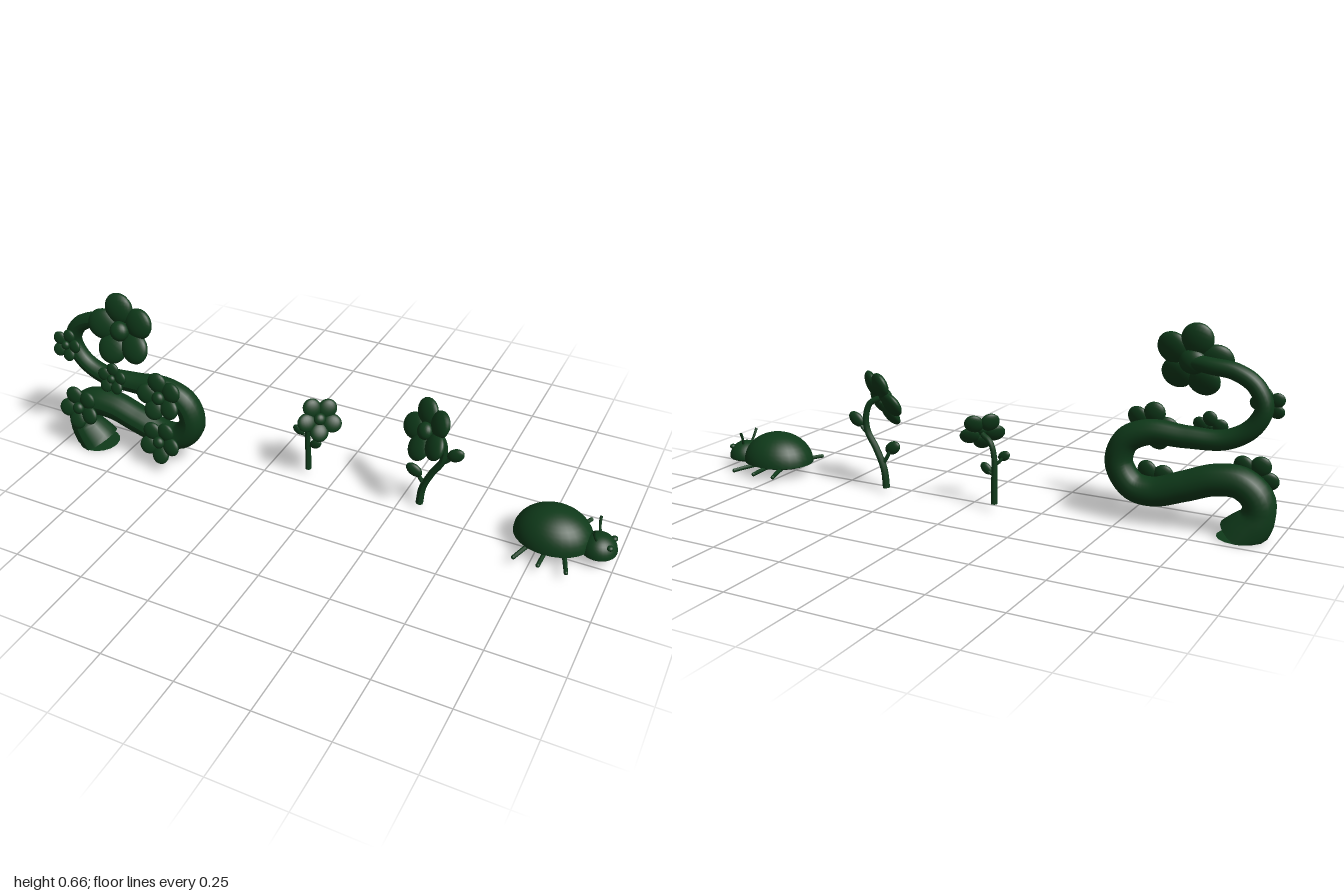
import * as THREE from 'three';

const mat = new THREE.MeshStandardMaterial({ color: 0x0f3a1a, side: THREE.DoubleSide });
const V = (x, y, z) => new THREE.Vector3(x, y, z);

function add(parent, name, geo, pos = [0, 0, 0], scale = [1, 1, 1]) {
  const m = new THREE.Mesh(geo, mat);
  m.name = name;
  m.position.set(...pos);
  m.scale.set(...scale);
  parent.add(m);
  return m;
}

const ball = new THREE.SphereGeometry(1, 20, 14);

// tube whose radius follows a list of values along the path
function taperedTube(points, radii, segs, sides) {
  const curve = new THREE.CatmullRomCurve3(points.map(p => V(...p)));
  const geo = new THREE.TubeGeometry(curve, segs, 1, sides, false);
  const pos = geo.attributes.position, v = V();
  for (let i = 0; i <= segs; i++) {
    const c = curve.getPointAt(i / segs);
    const f = (i / segs) * (radii.length - 1);
    const k = Math.min(Math.floor(f), radii.length - 2);
    const r = THREE.MathUtils.lerp(radii[k], radii[k + 1], f - k);
    for (let j = 0; j <= sides; j++) {
      const n = i * (sides + 1) + j;
      v.fromBufferAttribute(pos, n).sub(c).multiplyScalar(r).add(c);
      pos.setXYZ(n, v.x, Math.max(0, v.y), v.z);
    }
  }
  geo.computeVertexNormals();
  return geo;
}

// five flattened petals around a round centre, facing along a normal
function flower(parent, name, pos, normal, R, start = 100) {
  const g = new THREE.Group();
  g.name = name;
  g.position.set(...pos);
  g.lookAt(V(...pos).add(V(...normal)));
  for (let i = 0; i < 5; i++) {
    const a = THREE.MathUtils.degToRad(start + i * 72);
    const p = add(g, 'petal', ball,
      [Math.cos(a) * R * 0.58, Math.sin(a) * R * 0.58, 0], [R * 0.43, R * 0.41, R * 0.18]);
    p.rotation.set(0, -0.15, a, 'ZYX');
  }
  add(g, 'flowerCentre', ball, [0, 0, R * 0.1], [R * 0.27, R * 0.27, R * 0.2]);
  parent.add(g);
}

function leaf(parent, pos, angle, r) {
  const m = add(parent, 'leaf', ball, pos, [r * 1.2, r * 0.85, r * 0.5]);
  m.rotation.z = angle;
}

function bloomingVine() {
  const g = new THREE.Group();
  g.name = 'bloomingVine';
  const path = [
    [-0.885, 0, 0.098], [-0.935, 0.07, 0.1], [-0.935, 0.13, 0.1], [-0.88, 0.175, 0.1],
    [-0.8, 0.175, 0.095], [-0.7, 0.14, 0.09], [-0.6, 0.108, 0.085], [-0.53, 0.12, 0.083],
    [-0.483, 0.19, 0.083], [-0.505, 0.265, 0.085], [-0.58, 0.302, 0.09], [-0.7, 0.3, 0.098],
    [-0.82, 0.305, 0.105], [-0.9, 0.35, 0.108], [-0.935, 0.42, 0.108], [-0.905, 0.485, 0.108],
    [-0.84, 0.522, 0.108], [-0.77, 0.53, 0.11], [-0.69, 0.535, 0.13]];
  add(g, 'vineStem', taperedTube(path,
    [0.075, 0.053, 0.052, 0.051, 0.05, 0.048, 0.047, 0.045, 0.042, 0.038, 0.034, 0.031, 0.029, 0.028, 0.027, 0.026], 110, 16));
  const foot = add(g, 'vineFoot', new THREE.CircleGeometry(0.073, 16), [-0.885, 0.001, 0.098]);
  foot.rotation.x = Math.PI / 2;
  add(g, 'calyx', ball, [-0.7, 0.535, 0.125], [0.045, 0.04, 0.025]);
  flower(g, 'topFlower', [-0.695, 0.535, 0.148], [0, 0.27, 1], 0.128, 102);
  const small = [
    [-0.935, 0.42, 0.15, 0.058], [-0.76, 0.325, 0.145, 0.058], [-0.565, 0.305, 0.15, 0.088],
    [-0.9, 0.18, 0.168, 0.08], [-0.58, 0.118, 0.152, 0.08]];
  small.forEach(([x, y, z, R], i) =>
    flower(g, 'vineFlower', [x, y, z], [0, 0.25, 1], R, 75 + i * 15));
  return g;
}

function smallFlowerPlant() {
  const g = new THREE.Group();
  g.name = 'smallFlowerPlant';
  add(g, 'stem', taperedTube([[-0.1, 0.025, -0.05], [-0.1, 0.1, -0.05], [-0.1, 0.18, -0.05],
    [-0.085, 0.235, -0.05], [-0.05, 0.255, -0.04]], [0.011, 0.01, 0.009], 24, 10));
  add(g, 'twig', taperedTube([[-0.1, 0.125, -0.05], [-0.085, 0.13, -0.05], [-0.07, 0.14, -0.045]], [0.006, 0.005], 6, 8));
  add(g, 'twig', taperedTube([[-0.1, 0.16, -0.05], [-0.115, 0.17, -0.045], [-0.125, 0.185, -0.04]], [0.006, 0.005], 6, 8));
  leaf(g, [-0.068, 0.142, -0.045], 0.7, 0.02);
  leaf(g, [-0.128, 0.19, -0.035], 2.6, 0.019);
  flower(g, 'flower', [-0.045, 0.262, -0.03], [0.5, 0.45, 0.7], 0.078, 120);
  return g;
}

function tallFlowerPlant() {
  const g = new THREE.Group();
  g.name = 'tallFlowerPlant';
  add(g, 'stem', taperedTube([[0.322, 0.015, -0.05], [0.33, 0.08, -0.05], [0.36, 0.15, -0.05],
    [0.395, 0.21, -0.05], [0.4, 0.265, -0.05], [0.385, 0.31, -0.045], [0.35, 0.33, -0.035]],
    [0.013, 0.012, 0.01], 32, 10));
  add(g, 'twig', taperedTube([[0.388, 0.2, -0.05], [0.41, 0.215, -0.05], [0.43, 0.24, -0.05]], [0.008, 0.006], 6, 8));
  add(g, 'twig', taperedTube([[0.335, 0.1, -0.05], [0.32, 0.125, -0.045], [0.31, 0.15, -0.04]], [0.008, 0.006], 6, 8));
  leaf(g, [0.44, 0.247, -0.05], 0.6, 0.027);
  leaf(g, [0.303, 0.157, -0.035], 2.6, 0.026);
  flower(g, 'flower', [0.345, 0.33, -0.028], [-0.5, 0.4, 0.75], 0.11, 120);
  return g;
}

function beetle() {
  const g = new THREE.Group();
  g.name = 'beetle';
  g.position.set(0.79, 0, -0.045);
  const dome = new THREE.SphereGeometry(1, 28, 10, 0, Math.PI * 2, 0, Math.PI / 2);
  const belly = new THREE.SphereGeometry(1, 28, 8, 0, Math.PI * 2, Math.PI / 2, Math.PI / 2);
  add(g, 'shell', dome, [0, 0.045, 0], [0.132, 0.105, 0.11]);
  const rim = add(g, 'shellBase', new THREE.CircleGeometry(1, 28), [0, 0.045, 0], [0.132, 0.11, 1]);
  rim.rotation.x = Math.PI / 2;
  add(g, 'belly', belly, [0, 0.045, 0], [0.122, 0.02, 0.1]);
  // head
  add(g, 'head', dome, [0.15, 0.042, 0], [0.06, 0.057, 0.06]);
  add(g, 'chin', belly, [0.15, 0.042, 0], [0.06, 0.016, 0.06]);
  for (const s of [-1, 1]) {
    add(g, 'eye', ball, [0.19, 0.078, s * 0.027], [0.011, 0.009, 0.012]);
    add(g, 'antenna', taperedTube([[0.145, 0.085, s * 0.022], [0.137, 0.115, s * 0.034],
      [0.135, 0.138, s * 0.045]], [0.004, 0.005], 8, 8));
    // three legs on each side
    for (const [x0, x1] of [[-0.055, -0.085], [0, -0.003], [0.055, 0.087]]) {
      const end = s * (x1 < -0.01 || x1 > 0.01 ? 0.148 : 0.152);
      add(g, 'leg', taperedTube([[x0, 0.036, s * 0.06], [(x0 + x1) / 2, 0.035, s * 0.105],
        [x1, 0.033, end]], [0.008, 0.007], 8, 8));
      add(g, 'foot', ball, [x1, 0.033, end], [0.007, 0.007, 0.007]);
    }
  }
  return g;
}

export function createModel() {
  const g = new THREE.Group();
  g.name = 'gardenSet';
  g.add(bloomingVine(), smallFlowerPlant(), tallFlowerPlant(), beetle());
  return g;
}
